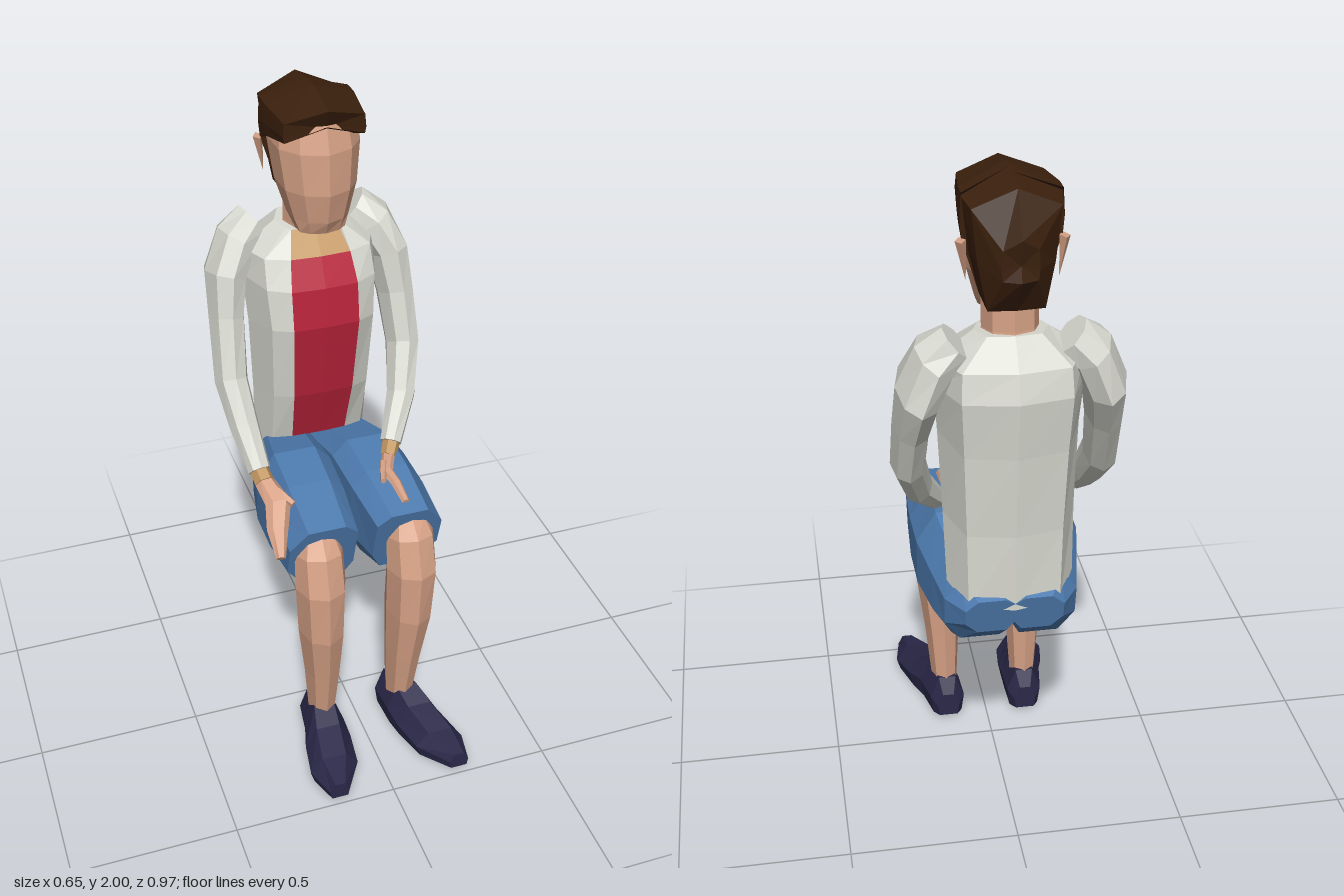
import * as THREE from 'three';

const paint = (name, color) => {
  const m = new THREE.MeshStandardMaterial({ color });
  m.name = name;
  m.flatShading = true;
  return m;
};

// Closed, faceted skin through rings of points; pick(i, j) chooses a material index per quad.
function loft(rings, pick = () => 0) {
  const pos = [], groups = [], n = rings[0].length;
  const tri = (...p) => p.forEach(q => pos.push(...q));
  for (let i = 0; i < rings.length - 1; i++) {
    for (let j = 0; j < n; j++) {
      const k = (j + 1) % n, a = rings[i], b = rings[i + 1];
      groups.push([pos.length / 3, 6, pick(i, j)]);
      tri(a[j], a[k], b[k]);
      tri(a[j], b[k], b[j]);
    }
  }
  const capStart = pos.length / 3;
  [rings[0], rings[rings.length - 1]].forEach((r, end) => {
    const c = [0, 1, 2].map(d => r.reduce((s, p) => s + p[d], 0) / n);
    for (let j = 0; j < n; j++) {
      const k = (j + 1) % n;
      end ? tri(c, r[j], r[k]) : tri(c, r[k], r[j]);
    }
  });
  groups.push([capStart, pos.length / 3 - capStart, 0]);
  // Turn the faces outward if the enclosed volume is negative
  let vol = 0;
  const A = new THREE.Vector3(), B = new THREE.Vector3(), C = new THREE.Vector3();
  for (let i = 0; i < pos.length; i += 9) {
    vol += A.fromArray(pos, i).dot(B.fromArray(pos, i + 3).cross(C.fromArray(pos, i + 6)));
  }
  if (vol < 0) {
    for (let i = 0; i < pos.length; i += 9) {
      for (let d = 0; d < 3; d++) [pos[i + 3 + d], pos[i + 6 + d]] = [pos[i + 6 + d], pos[i + 3 + d]];
    }
  }
  const g = new THREE.BufferGeometry();
  g.setAttribute('position', new THREE.Float32BufferAttribute(pos, 3));
  groups.forEach(s => g.addGroup(...s));
  g.computeVertexNormals();
  return g;
}

// Limb along stations [x, y, z, sideways radius, other radius]
function limb(path, n = 8) {
  const P = path.map(p => new THREE.Vector3(p[0], p[1], p[2]));
  return loft(path.map((p, i) => {
    const T = P[Math.min(i + 1, P.length - 1)].clone().sub(P[Math.max(i - 1, 0)]).normalize();
    const U = new THREE.Vector3(1, 0, 0).addScaledVector(T, -T.x).normalize();
    const V = T.clone().cross(U);
    return Array.from({ length: n }, (_, j) => {
      const a = j / n * Math.PI * 2;
      return P[i].clone().addScaledVector(U, Math.cos(a) * p[3]).addScaledVector(V, Math.sin(a) * p[4]).toArray();
    });
  }));
}

// Mirrors a half ring whose first and last points lie on x = 0
const mirrorRing = half => [...half, ...half.slice(1, -1).reverse().map(([x, y, z]) => [-x, y, z])];

export function createModel() {
  const model = new THREE.Group();
  model.name = 'seatedMan';
  const skin = paint('skin', 0xd6a185), jacket = paint('jacketGrey', 0xd8d9d0);
  const red = paint('shirtRed', 0xb8233a), tan = paint('tan', 0xc0955f);
  const denim = paint('denimBlue', 0x4f7db2), hairBrown = paint('hairBrown', 0x3b200d);
  const navy = paint('shoeNavy', 0x2b2849);
  const add = (name, geometry, material) => {
    const m = new THREE.Mesh(geometry, material);
    m.name = name;
    model.add(m);
    return m;
  };

  // Torso: [front y, back y, half width, shirt half width, front z, back z]
  const torso = [
    [0.87, 0.76, 0.18, 0.085, -0.22, -0.425],
    [1.05, 1.0, 0.185, 0.092, -0.165, -0.43],
    [1.3, 1.25, 0.195, 0.1, -0.125, -0.45],
    [1.42, 1.42, 0.205, 0.1, -0.14, -0.47],
    [1.505, 1.5, 0.2, 0.09, -0.18, -0.45],
    [1.57, 1.58, 0.1, 0.07, -0.24, -0.39],
  ].map(([yf, yb, w, s, zf, zb]) => mirrorRing(
    [[0, 0], [s, 0.02], [0.8 * w, 0.13], [w, 0.5], [0.72 * w, 0.92], [0, 1]]
      .map(([x, t]) => [x, yf + (yb - yf) * t, zf + (zb - zf) * t])));
  add('torso', loft(torso, (i, j) => (j === 0 || j === 9 ? (i === 4 ? 2 : 1) : 0)), [jacket, red, tan]);

  // Neck and head: [y, half width, front z, back z]
  add('neck', limb([[0, 1.5, -0.31, 0.085, 0.085], [0, 1.58, -0.305, 0.077, 0.075], [0, 1.68, -0.3, 0.077, 0.075]]), skin);
  const head = [
    [1.6, 0.07, -0.135, -0.24], [1.64, 0.085, -0.115, -0.31], [1.73, 0.11, -0.096, -0.36],
    [1.85, 0.124, -0.1, -0.39], [1.925, 0.112, -0.122, -0.38],
  ].map(([y, w, zf, zb]) => mirrorRing(
    [[0, 0], [0.6, 0.1], [0.95, 0.3], [1, 0.65], [0.7, 1], [0, 1]]
      .map(([x, t]) => [x * w, y, zf + (zb - zf) * t])));
  add('head', loft(head), skin);

  // Hair sections, front to back: [z, side half width, bottom half width, bottom y, side y, peak y, sweep]
  const hair = [
    [-0.105, 0.115, 0.115, 1.885, 1.94, 1.975, 0.3],
    [-0.24, 0.13, 0.13, 1.855, 1.95, 2.0, 0.3],
    [-0.29, 0.13, 0.13, 1.83, 1.95, 2.0, 0.3],
    [-0.32, 0.13, 0.085, 1.68, 1.94, 1.995, 0],
    [-0.41, 0.115, 0.075, 1.66, 1.93, 1.98, -0.1],
    [-0.48, 0.045, 0.045, 1.76, 1.84, 1.87, -0.4],
  ].map(([z, w, b, yb, ys, yp, k], i) => mirrorRing(
    [[0, yp], [w, ys], [(w + b) / 2 + 0.004, (yb + ys) / 2 - 0.01], [b, yb], [0, i === 0 ? 1.93 : yb]]
      .map(([x, y]) => [x, y, z - k * x])));
  add('hair', loft(hair), hairBrown);

  // Arms: [x, y, z, sideways radius, other radius]
  const shoulder = s => [
    [s * 0.15, 1.565, -0.36, 0.06, 0.05], [s * 0.205, 1.52, -0.35, 0.065, 0.09],
    [s * 0.25, 1.42, -0.33, 0.062, 0.115], [s * 0.264, 1.3, -0.28, 0.053, 0.09],
  ];
  add('leftSleeve', limb([...shoulder(1), [0.27, 1.15, -0.22, 0.05, 0.075],
    [0.235, 1.02, -0.13, 0.044, 0.056], [0.17, 0.915, -0.035, 0.033, 0.034]]), jacket);
  add('rightSleeve', limb([...shoulder(-1), [-0.278, 1.13, -0.2, 0.05, 0.072],
    [-0.268, 1.02, -0.1, 0.044, 0.056], [-0.255, 0.93, 0, 0.034, 0.036]]), jacket);

  // Wrists, hands and thumbs
  add('leftWrist', limb([[0.175, 0.92, -0.04, 0.027, 0.026], [0.15, 0.89, 0, 0.025, 0.025]], 6), tan);
  add('rightWrist', limb([[-0.256, 0.935, -0.01, 0.029, 0.03], [-0.25, 0.91, 0.035, 0.03, 0.028]], 6), tan);
  add('leftHand', limb([[0.15, 0.89, 0, 0.025, 0.02], [0.118, 0.892, 0.07, 0.02, 0.014],
    [0.127, 0.885, 0.13, 0.016, 0.013], [0.13, 0.868, 0.205, 0.012, 0.01]], 6), skin);
  add('leftThumb', limb([[0.12, 0.9, 0.04, 0.013, 0.012], [0.09, 0.893, 0.12, 0.009, 0.01]], 5), skin);
  add('rightHand', limb([[-0.25, 0.91, 0.03, 0.03, 0.026], [-0.228, 0.875, 0.1, 0.04, 0.024],
    [-0.25, 0.825, 0.16, 0.032, 0.02], [-0.262, 0.775, 0.23, 0.014, 0.013]], 6), skin);
  add('rightThumb', limb([[-0.23, 0.9, 0.06, 0.018, 0.016], [-0.19, 0.88, 0.125, 0.01, 0.01]], 5), skin);

  for (const s of [1, -1]) {
    const side = s > 0 ? 'left' : 'right';

    const ear = add(side + 'Ear', new THREE.ConeGeometry(0.024, 0.11, 4), skin);
    ear.rotation.set(Math.PI, 0, s * 0.12);
    ear.scale.x = 0.6;
    ear.position.set(s * 0.127, 1.775, -0.34);

    // Shorts sections: [z, inner x, outer x, bottom y, top y, lean]
    const shorts = [
      [0.215, 0.03, 0.235, 0.625, 0.858, 0.07], [0.05, 0.012, 0.243, 0.585, 0.893, 0.02],
      [-0.1, 0.005, 0.24, 0.573, 0.905, 0], [-0.24, 0, 0.212, 0.578, 0.865, 0],
      [-0.34, 0, 0.19, 0.61, 0.83, -0.04], [-0.415, 0, 0.14, 0.68, 0.8, -0.03],
    ].map(([z, xi, xo, yb, yt, lean]) =>
      [[0, 0.25], [0, 0.85], [0.2, 1], [0.75, 1], [1, 0.72], [1, 0.3], [0.75, 0], [0.15, 0]]
        .map(([u, v]) => [s * (xi + (xo - xi) * u), yb + (yt - yb) * v, z + lean * (v - 0.5)]));
    add(side + 'ShortsLeg', loft(shorts), denim);

    // Knee and shin
    add(side + 'Leg', limb([
      [s * 0.14, 0.815, 0.2, 0.055, 0.04], [s * 0.142, 0.76, 0.21, 0.074, 0.075],
      [s * 0.143, 0.65, 0.23, 0.077, 0.088], [s * 0.14, 0.48, 0.217, 0.07, 0.096],
      [s * 0.133, 0.3, 0.2, 0.055, 0.078], [s * 0.13, 0.1, 0.18, 0.04, 0.058],
    ]), skin);

    // Shoe sections: [z, half width, bottom y, top y], turned outward toward the toe
    const toeOut = s > 0 ? 0.31 : 0.13;
    const shoe = [
      [0.095, 0.035, 0.01, 0.09], [0.125, 0.055, 0.004, 0.14], [0.225, 0.064, 0, 0.148],
      [0.29, 0.074, 0, 0.115], [0.39, 0.076, 0, 0.085], [0.485, 0.03, 0.012, 0.066],
    ].map(([z, w, yb, yt]) => {
      const cx = 0.128 + toeOut * Math.max(0, z - 0.18);
      return [[-0.85, 0], [-1, 0.45], [-0.5, 1], [0.5, 1], [1, 0.45], [0.85, 0]]
        .map(([u, v]) => [s * (cx + u * w), yb + (yt - yb) * v, z]);
    });
    add(side + 'Shoe', loft(shoe), navy);
  }
  return model;
}
